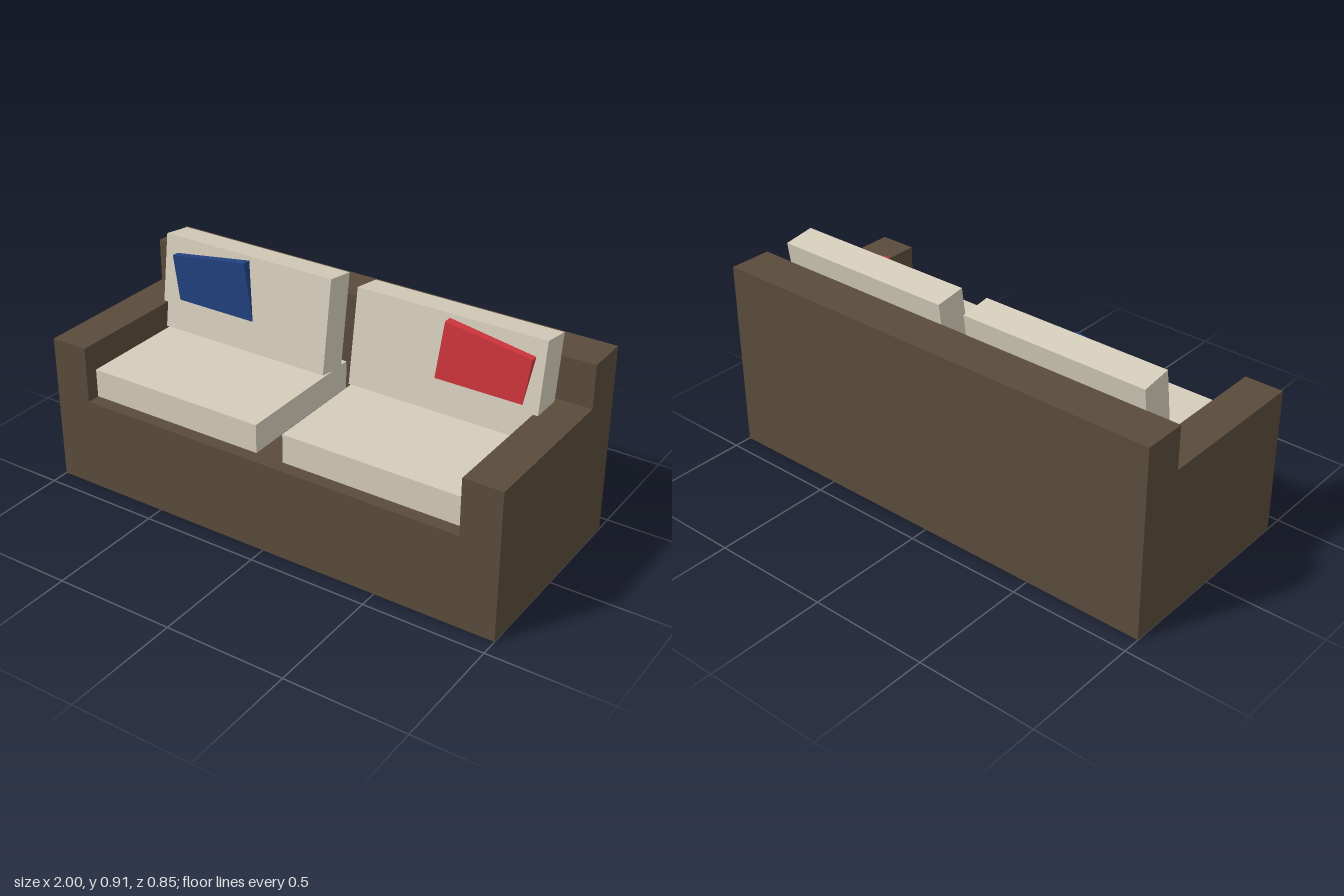
import * as THREE from 'three';

const mat = (name, color) => {
  const m = new THREE.MeshStandardMaterial({ color });
  m.name = name;
  return m;
};

export function createModel() {
  const group = new THREE.Group();
  const brown = mat('brown upholstery', 0x594b3a);
  const cream = mat('cream cushion', 0xd4ccb9);
  const red = mat('red pillow', 0xd0353b);
  const blue = mat('blue pillow', 0x22417f);

  const add = (name, geometry, material, x, y, z) => {
    const mesh = new THREE.Mesh(geometry, material);
    mesh.name = name;
    mesh.position.set(x, y, z);
    group.add(mesh);
    return mesh;
  };
  const box = (name, w, h, d, material, x, y, z) =>
    add(name, new THREE.BoxGeometry(w, h, d), material, x, y, z);

  // Base and both arms: one U-shaped section run from front to back
  const section = new THREE.Shape([
    [-1, 0], [1, 0], [1, 0.62], [0.84, 0.62],
    [0.84, 0.385], [-0.84, 0.385], [-0.84, 0.62], [-1, 0.62],
  ].map(([x, y]) => new THREE.Vector2(x, y)));
  add('baseAndArms', new THREE.ExtrudeGeometry(section, { depth: 0.67, bevelEnabled: false }),
    brown, 0, 0, -0.245);

  // Backrest
  box('backrest', 2, 0.8, 0.18, brown, 0, 0.4, -0.335);

  // Lean of the back cushions and twist of the pillows
  const lean = THREE.MathUtils.degToRad(8.3);

  for (const side of [-1, 1]) {
    const label = side > 0 ? 'left' : 'right';

    // Seat cushion
    box(label + 'SeatCushion', 0.78, 0.12, 0.61, cream, side * 0.45, 0.445, 0.065);

    // Back cushion leaning on the backrest
    const back = box(label + 'BackCushion', 0.8, 0.394, 0.13, cream, side * 0.46, 0.701, -0.166);
    back.rotation.x = -lean;

    // Throw pillow, partly sunk into the back cushion
    const pillow = box(label + 'ThrowPillow', 0.363, 0.28, 0.06, side > 0 ? red : blue,
      side > 0 ? 0.622 : -0.605, 0.723, -0.122);
    pillow.rotation.z = -side * lean;
  }
  return group;
}
